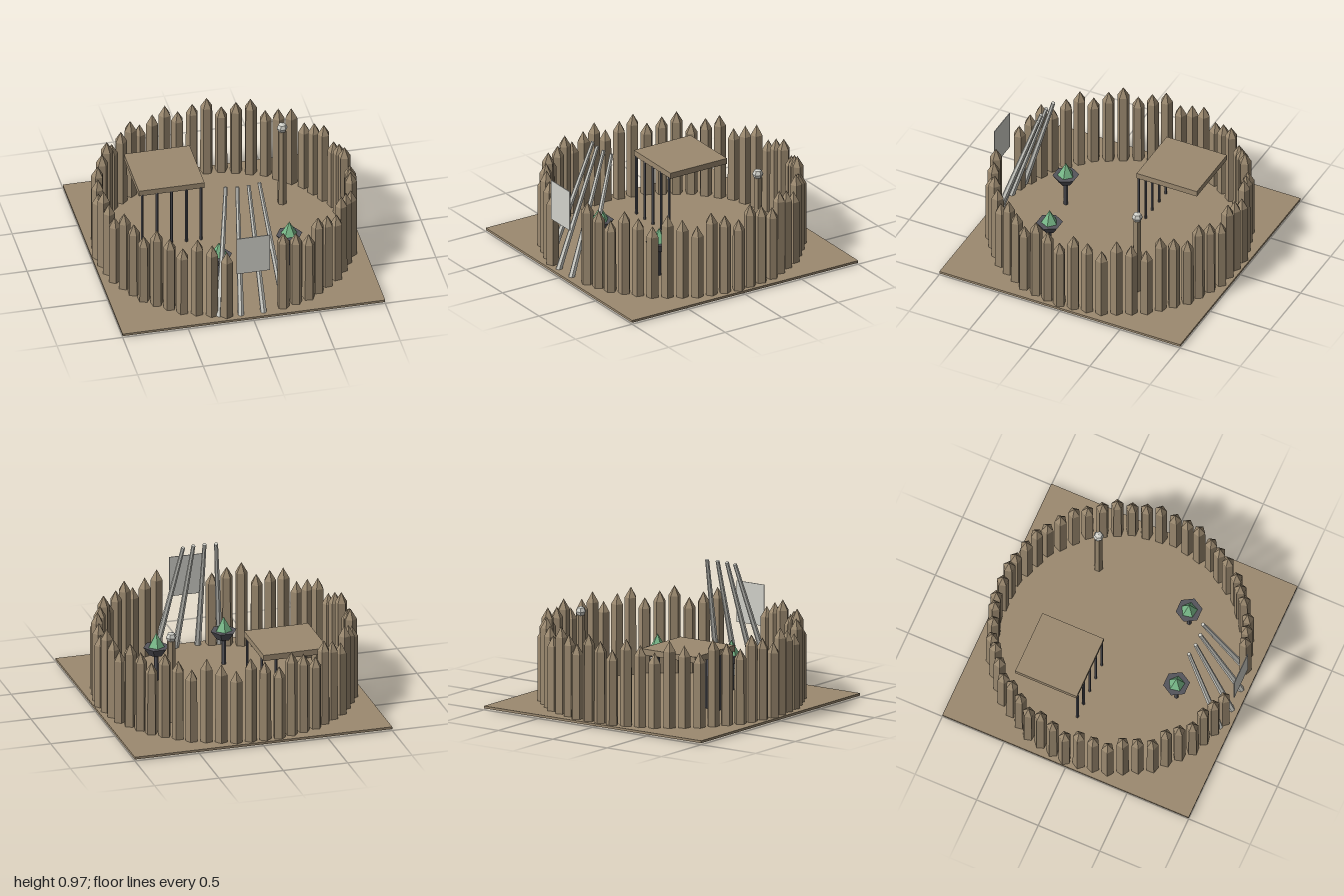
import * as THREE from 'three';

const mat = (name, color) => Object.assign(new THREE.MeshStandardMaterial({ color, flatShading: true }), { name });

export function createModel() {
  const wood = mat('wood', 0x9c8a70);
  const pale = mat('pale bone', 0xd2d2cb);
  const iron = mat('dark iron', 0x55555b);
  const fire = mat('green flame', 0x78b888);
  const model = new THREE.Group();

  const add = (parent, name, geometry, material, x, y, z) => {
    const mesh = new THREE.Mesh(geometry, material);
    mesh.name = name;
    mesh.position.set(x, y, z);
    parent.add(mesh);
    return mesh;
  };
  // Upright cylinder between two heights
  const column = (parent, name, material, x, z, y0, y1, r0, r1, sides) =>
    add(parent, name, new THREE.CylinderGeometry(r1, r0, y1 - y0, sides), material, x, (y0 + y1) / 2, z);

  // Ground slab
  add(model, 'ground', new THREE.BoxGeometry(2, 0.018, 2), wood, 0, 0.021, 0);

  // Ring of sharpened stakes, with a gap of three at the front gate
  const fence = new THREE.Group();
  fence.name = 'palisade';
  model.add(fence);
  const tips = [0.6, 0.65, 0.69];
  for (let i = 0; i < 54; i++) {
    if (i >= 12 && i <= 14) continue;
    const a = THREE.MathUtils.degToRad(1.6 + i * 360 / 54);
    const r = i % 3 === 0 ? 0.952 : 0.94;
    const x = r * Math.cos(a), z = r * Math.sin(a), tip = tips[i % 3];
    const stake = new THREE.Group();
    stake.name = 'stake';
    stake.position.set(x, 0, z);
    stake.rotation.y = Math.PI / 2 - a;
    fence.add(stake);
    column(stake, 'stakeBody', wood, 0, 0, 0.025, tip - 0.08, 0.048, 0.047, 5);
    column(stake, 'stakeTip', wood, 0, 0, tip - 0.08, tip, 0.047, 0, 5);
  }

  // Leaning gate poles: bottom x, bottom z, top x, top z
  const up = new THREE.Vector3(0, 1, 0);
  for (const s of [-1, 1]) {
    for (const [bx, bz, tx, tz] of [[0.25, 0.925, 0.128, 0.617], [0.087, 0.95, 0.043, 0.632]]) {
      const low = new THREE.Vector3(s * bx, 0.008, bz), high = new THREE.Vector3(s * tx, 0.965, tz);
      const dir = high.clone().sub(low);
      const pole = add(model, 'gatePole', new THREE.CylinderGeometry(0.015, 0.025, dir.length(), 6), pale, 0, 0, 0);
      pole.position.copy(low).add(high).multiplyScalar(0.5);
      pole.quaternion.setFromUnitVectors(up, dir.normalize());
    }
  }

  // Blank hanging sign
  add(model, 'signPlate', new THREE.BoxGeometry(0.254, 0.315, 0.006), pale, -0.003, 0.585, 0.983);

  // Flat roof with a row of bars along its front edge
  add(model, 'roof', new THREE.BoxGeometry(0.5, 0.045, 0.5), wood, -0.382, 0.517, -0.322);
  for (let i = 0; i < 5; i++) column(model, 'cageBar', iron, -0.605 + i * 0.112, -0.078, 0.02, 0.5, 0.011, 0.011, 6);

  // Braziers with green flames
  for (const [x, z] of [[-0.16, 0.53], [0.41, 0.38]]) {
    const brazier = new THREE.Group();
    brazier.name = 'brazier';
    brazier.position.set(x, 0, z);
    model.add(brazier);
    column(brazier, 'stem', iron, 0, 0, 0.025, 0.24, 0.018, 0.018, 6);
    const bowl = column(brazier, 'bowl', iron, 0, 0, 0.235, 0.3, 0.055, 0.1, 6);
    bowl.rotation.y = Math.PI / 2;
    column(brazier, 'flame', fire, 0, 0, 0.3, 0.41, 0.063, 0, 5).rotation.y = 0.5;
  }

  // Lone post topped with a pale head
  column(model, 'markerPost', wood, 0.537, -0.412, 0.025, 0.68, 0.035, 0.032, 6);
  add(model, 'markerHead', new THREE.SphereGeometry(0.041, 6, 4), pale, 0.537, 0.705, -0.412);

  return model;
}
